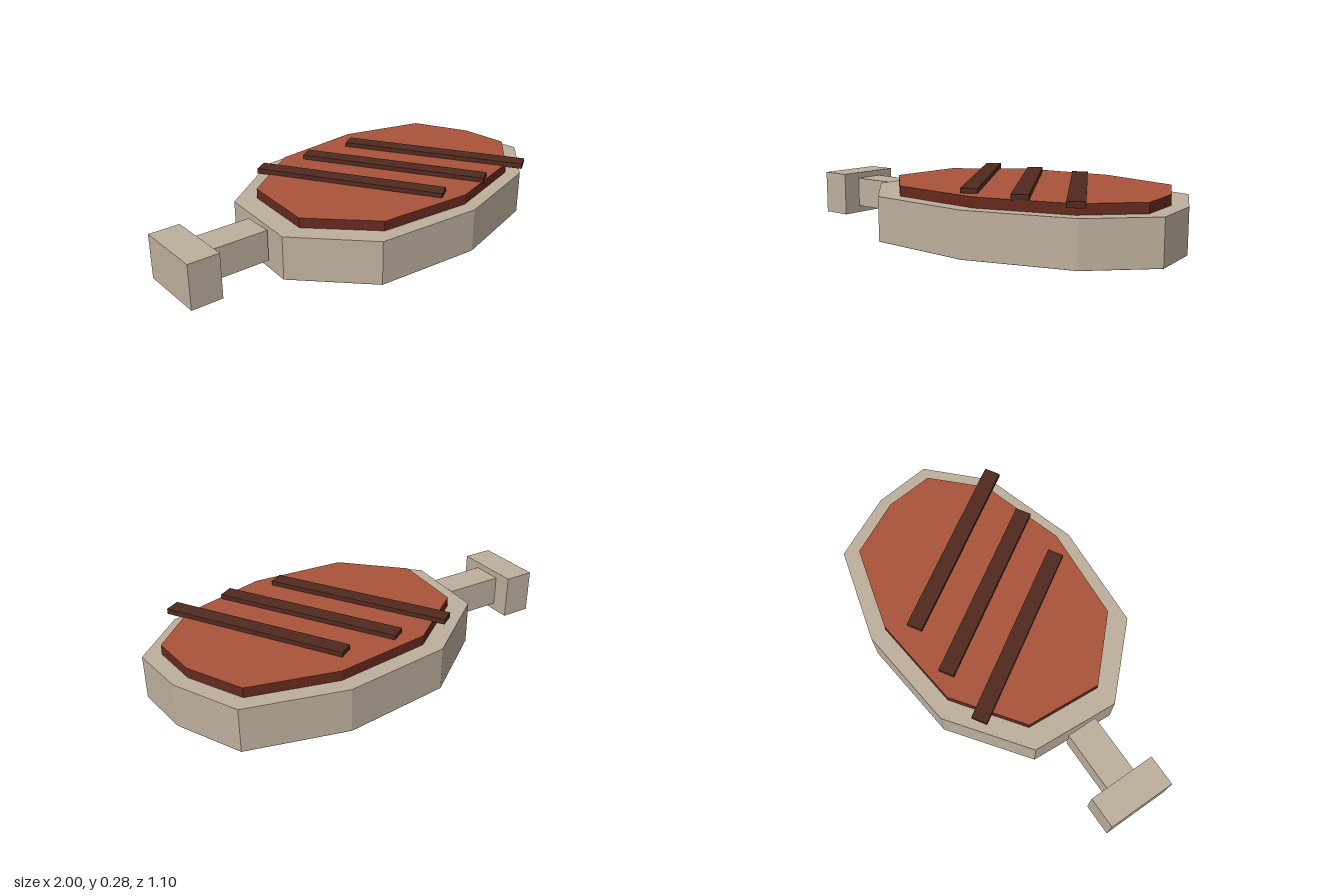
import * as THREE from 'three';

const mat = (name, color) => {
  const m = new THREE.MeshStandardMaterial({ color, flatShading: true });
  m.name = name;
  return m;
};

// Upright slab from an outline of [x, z] points, between two heights
function slab(name, outline, y0, y1, materials) {
  const shape = new THREE.Shape(outline.map(([x, z]) => new THREE.Vector2(x, -z)));
  const geo = new THREE.ExtrudeGeometry(shape, { depth: y1 - y0, bevelEnabled: false });
  geo.rotateX(-Math.PI / 2).translate(0, y0, 0);
  const mesh = new THREE.Mesh(geo, materials);
  mesh.name = name;
  return mesh;
}

// Box given by its minimum and maximum corners, with its own underside colour
function block(name, min, max, material, under) {
  const size = max.map((v, i) => v - min[i]);
  const faces = [material, material, material, under, material, material];
  const mesh = new THREE.Mesh(new THREE.BoxGeometry(...size), faces);
  mesh.position.set(...max.map((v, i) => (v + min[i]) / 2));
  mesh.name = name;
  return mesh;
}

export function createModel() {
  const model = new THREE.Group();
  model.name = 'grilledSteak';

  const pale = mat('pale fat and bone', 0xbeaf9d);
  const paleUnder = mat('fat and bone underside', 0x887f73);
  const meatTop = mat('seared meat', 0xaa533b);
  const meatSide = mat('dark meat edge', 0x66291d);
  const char = mat('char', 0x50291f);

  // Rim of fat on a thin darker underside
  const rim = [[-0.16, -0.49], [0.355, -0.55], [0.815, -0.43], [0.968, -0.122], [1, 0.155],
    [0.755, 0.4], [0.27, 0.548], [-0.253, 0.517], [-0.557, 0.212], [-0.528, -0.215]];
  model.add(slab('fatRim', rim, 0.006, 0.213, pale));
  model.add(slab('fatUnderside', rim, 0.003, 0.006, paleUnder));

  // Raised meat with a darker edge, showing through below
  const meat = [[-0.105, -0.415], [0.355, -0.47], [0.76, -0.365], [0.893, -0.105], [0.917, 0.132],
    [0.705, 0.348], [0.28, 0.478], [-0.183, 0.447], [-0.45, 0.19], [-0.425, -0.18]];
  model.add(slab('meat', meat, 0.1, 0.26, [meatTop, meatSide]));
  model.add(slab('meatUnderside', meat, 0, 0.005, meatSide));

  // Bone and its knob
  model.add(block('bone', [-0.85, 0.05, -0.05], [-0.557, 0.2, 0.1], pale, paleUnder));
  model.add(block('boneKnob', [-1, 0.015, -0.14], [-0.85, 0.23, 0.195], pale, paleUnder));

  // Three slanting grill marks
  for (let i = 0; i < 3; i++) {
    const mark = new THREE.Mesh(new THREE.BoxGeometry(0.914, 0.026, 0.077), char);
    mark.position.set(-0.04 + i * 0.274, 0.269, 0.029);
    mark.rotation.y = -Math.atan2(0.77, 0.485);
    mark.name = 'grillMark' + (i + 1);
    model.add(mark);
  }
  return model;
}
